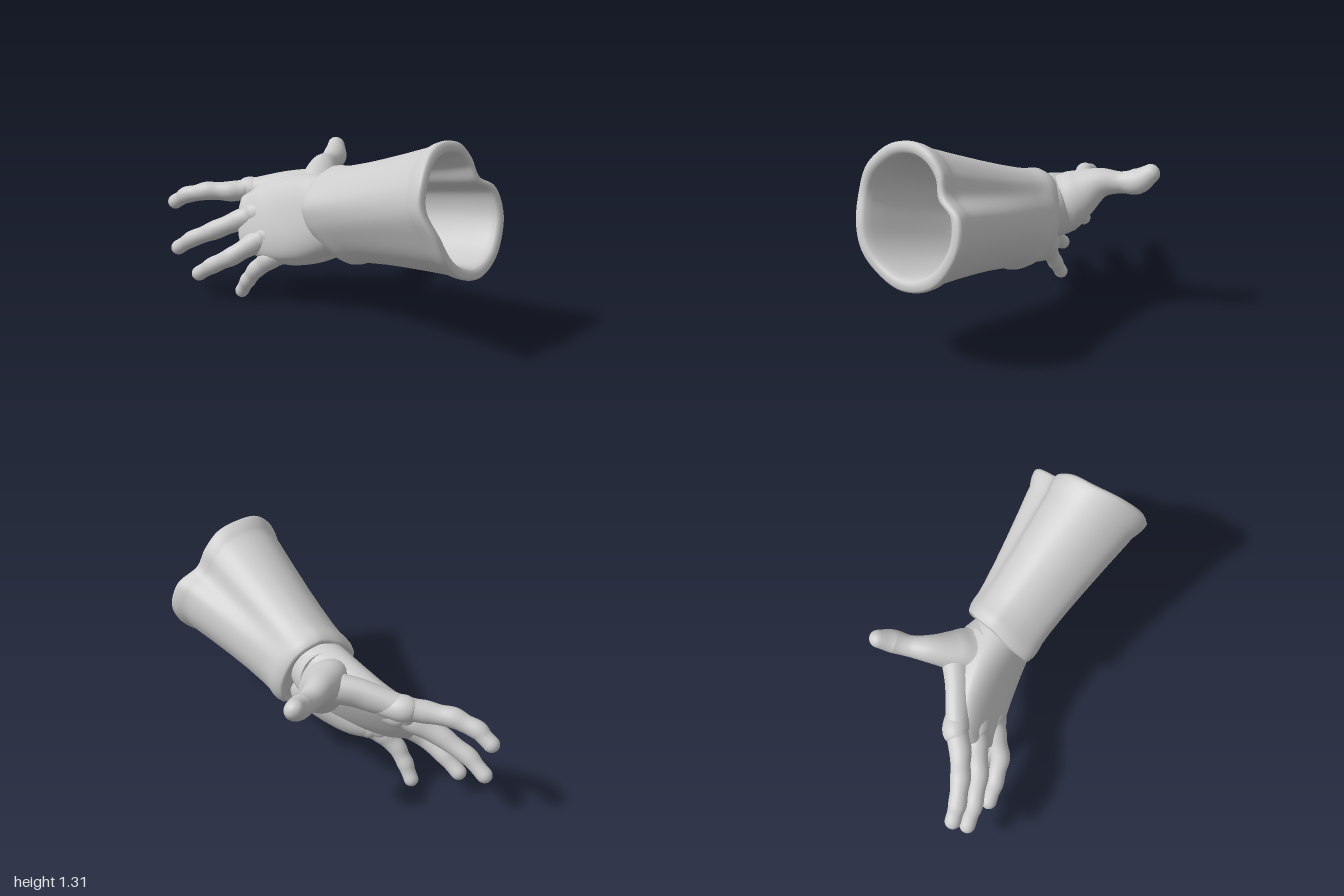
import * as THREE from 'three';

const material = new THREE.MeshStandardMaterial({ color: 0xcccccc });
const V = (x, y, z) => new THREE.Vector3(x, y, z);

// Closed smooth skin over a list of equal-length rings
function skin(name, rings) {
  const n = rings[0].length;
  const pts = rings.flat();
  const index = [];
  for (let r = 0; r < rings.length - 1; r++) {
    for (let i = 0; i < n; i++) {
      const a = r * n + i, b = r * n + (i + 1) % n;
      index.push(a, b, a + n, b, b + n, a + n);
    }
  }
  [0, rings.length - 1].forEach((r, end) => {
    const mid = rings[r].reduce((s, p) => s.add(p), V(0, 0, 0)).divideScalar(n);
    const c = pts.push(mid) - 1;
    for (let i = 0; i < n; i++) {
      const a = r * n + i, b = r * n + (i + 1) % n;
      if (end) index.push(a, b, c); else index.push(b, a, c);
    }
  });
  // turn the faces outward when the enclosed volume comes out negative
  let volume = 0;
  for (let i = 0; i < index.length; i += 3) {
    volume += pts[index[i]].dot(pts[index[i + 1]].clone().cross(pts[index[i + 2]]));
  }
  if (volume < 0) index.reverse();
  const geo = new THREE.BufferGeometry().setFromPoints(pts);
  geo.setIndex(index);
  geo.computeVertexNormals();
  const mesh = new THREE.Mesh(geo, material);
  mesh.name = name;
  return mesh;
}

// Limb along stations [x, y, z, halfWidth, halfThickness], rounded at both ends;
// a power below 1 makes the section boxier
const ACROSS = V(-0.24, 0.8, -0.56).normalize();
function limb(name, stations, sides = 24, power = 1) {
  const path = new THREE.CatmullRomCurve3(stations.map(s => V(s[0], s[1], s[2])), false, 'catmullrom');
  const size = new THREE.CatmullRomCurve3(stations.map(s => V(s[3], s[4] ?? s[3], 0)), false, 'catmullrom');
  const steps = (stations.length - 1) * 6;
  const bend = v => Math.sign(v) * Math.abs(v) ** power;
  const rings = [];
  const addRing = (t, along, shrink) => {
    const tangent = path.getTangent(t);
    const normal = tangent.clone().cross(ACROSS).normalize();
    const width = normal.clone().cross(tangent);
    const r = size.getPoint(t);
    const c = path.getPoint(t).addScaledVector(tangent, along * r.y);
    const ring = [];
    for (let i = 0; i < sides; i++) {
      const a = i / sides * Math.PI * 2;
      ring.push(c.clone()
        .addScaledVector(width, bend(Math.cos(a)) * r.x * shrink)
        .addScaledVector(normal, bend(Math.sin(a)) * r.y * shrink));
    }
    rings.push(ring);
  };
  const round = [0.3, 0.6, 0.9, 1.2, 1.45];
  [...round].reverse().forEach(a => addRing(0, -Math.sin(a), Math.cos(a)));
  for (let i = 0; i <= steps; i++) addRing(i / steps, 0, 1);
  round.forEach(a => addRing(1, Math.sin(a), Math.cos(a)));
  return skin(name, rings);
}

// Finger from its root in the palm and its joints, slimmer between the joints
function finger(name, root, joints) {
  const stations = [root];
  joints.forEach((j, i) => {
    stations.push(j);
    const k = joints[i + 1];
    if (k) stations.push(j.map((v, m) => (v + k[m]) / 2 * (m === 3 ? 0.92 : 1)));
  });
  return limb(name, stations, 20);
}

// Sleeve outlines at the cuff and at the wrist, matched point for point
const CUFF = [[0.54, 1.31, 0.64], [0.67, 1.28, 0.55], [0.76, 1.18, 0.49], [0.82, 1.05, 0.48],
  [0.95, 0.96, 0.42], [1.0, 0.78, 0.44], [0.95, 0.6, 0.53], [0.86, 0.51, 0.63],
  [0.74, 0.49, 0.75], [0.6, 0.55, 0.86], [0.5, 0.66, 0.94], [0.42, 0.81, 0.96],
  [0.335, 0.98, 0.93], [0.35, 1.14, 0.88], [0.43, 1.27, 0.76]];
const WRIST = [[0, 0.95, -0.24], [0.07, 0.95, -0.28], [0.14, 0.92, -0.31], [0.2, 0.86, -0.32],
  [0.25, 0.76, -0.32], [0.28, 0.65, -0.31], [0.28, 0.54, -0.28], [0.26, 0.44, -0.2],
  [0.2, 0.37, -0.08], [0.1, 0.37, -0.03], [0, 0.43, -0.03], [-0.1, 0.53, -0.05],
  [-0.17, 0.64, -0.07], [-0.19, 0.76, -0.1], [-0.11, 0.88, -0.18]];

function outline(points, count = 90) {
  const curve = new THREE.CatmullRomCurve3(points.map(p => V(...p)), true, 'catmullrom');
  return Array.from({ length: count }, (_, i) => curve.getPoint(i / count));
}

function sleeve() {
  const wrist = outline(WRIST), cuff = outline(CUFF);
  // [position from wrist to cuff, scale]: outer wall, rolled rim, inner wall
  const stations = [[0.03, 0.8], [0.005, 0.87], [0, 0.94], [0.012, 0.99], [0.05, 1.015],
    [0.09, 1], [0.13, 0.965], [0.2, 0.945], [0.35, 0.935], [0.5, 0.94], [0.7, 0.955],
    [0.84, 0.97], [0.885, 0.97], [0.905, 0.99], [0.94, 1.01], [0.975, 1.015],
    [0.99, 1.005], [1, 0.975], [1.002, 0.92], [1, 0.87], [0.985, 0.84], [0.95, 0.82],
    [0.85, 0.81], [0.7, 0.82], [0.5, 0.82], [0.3, 0.8], [0.24, 0.65], [0.2, 0.35]];
  const rings = stations.map(([t, s]) => {
    const ring = wrist.map((p, i) => p.clone().lerp(cuff[i], t));
    const mid = ring.reduce((m, p) => m.add(p), V(0, 0, 0)).divideScalar(ring.length);
    return ring.map(p => p.sub(mid).multiplyScalar(s).add(mid));
  });
  return skin('sleeve', rings);
}

export function createModel() {
  const model = new THREE.Group();
  model.name = 'sleevedHand';

  const hand = new THREE.Group();
  hand.name = 'hand';
  hand.add(
    limb('palm', [[0.03, 0.66, -0.17, 0.26, 0.18], [-0.11, 0.615, -0.29, 0.29, 0.15],
      [-0.26, 0.575, -0.395, 0.285, 0.115], [-0.4, 0.55, -0.48, 0.25, 0.085],
      [-0.49, 0.535, -0.53, 0.2, 0.06]], 48, 0.85),
    limb('palmHeel', [[0.1, 0.54, -0.18, 0.15, 0.12], [-0.06, 0.45, -0.25, 0.14, 0.12],
      [-0.2, 0.39, -0.31, 0.11], [-0.34, 0.36, -0.37, 0.07]]),
    limb('thumbWeb', [[0.02, 0.79, -0.48, 0.11, 0.1], [-0.17, 0.76, -0.52, 0.12, 0.085],
      [-0.3, 0.74, -0.57, 0.11, 0.08], [-0.45, 0.73, -0.64, 0.075, 0.07]]),
    limb('thumb', [[0.08, 0.7, -0.2, 0.17, 0.14], [0.01, 0.71, -0.35, 0.195, 0.155],
      [0.02, 0.785, -0.48, 0.165, 0.125], [0.055, 0.86, -0.62, 0.1, 0.09],
      [0.115, 0.875, -0.74, 0.07, 0.068], [0.175, 0.895, -0.83, 0.085, 0.072],
      [0.2, 0.95, -0.91, 0.062, 0.055]]),
    finger('indexFinger', [-0.24, 0.7, -0.52, 0.06], [[-0.43, 0.73, -0.64, 0.084],
      [-0.58, 0.715, -0.665, 0.07], [-0.74, 0.71, -0.72, 0.064],
      [-0.875, 0.67, -0.79, 0.058], [-0.95, 0.61, -0.85, 0.051]]),
    finger('middleFinger', [-0.22, 0.6, -0.41, 0.06], [[-0.41, 0.595, -0.51, 0.09],
      [-0.54, 0.54, -0.55, 0.074], [-0.7, 0.465, -0.6, 0.066],
      [-0.855, 0.38, -0.69, 0.058], [-0.945, 0.3, -0.77, 0.051]]),
    finger('ringFinger', [-0.18, 0.51, -0.34, 0.06], [[-0.36, 0.465, -0.4, 0.088],
      [-0.47, 0.41, -0.405, 0.074], [-0.61, 0.325, -0.425, 0.064],
      [-0.735, 0.24, -0.51, 0.058], [-0.82, 0.165, -0.585, 0.051]]),
    finger('littleFinger', [-0.13, 0.44, -0.27, 0.06], [[-0.27, 0.37, -0.34, 0.088],
      [-0.37, 0.305, -0.37, 0.072], [-0.45, 0.225, -0.41, 0.059],
      [-0.5, 0.135, -0.46, 0.054], [-0.535, 0.048, -0.51, 0.047]]),
  );
  model.add(sleeve(), hand);
  return model;
}
